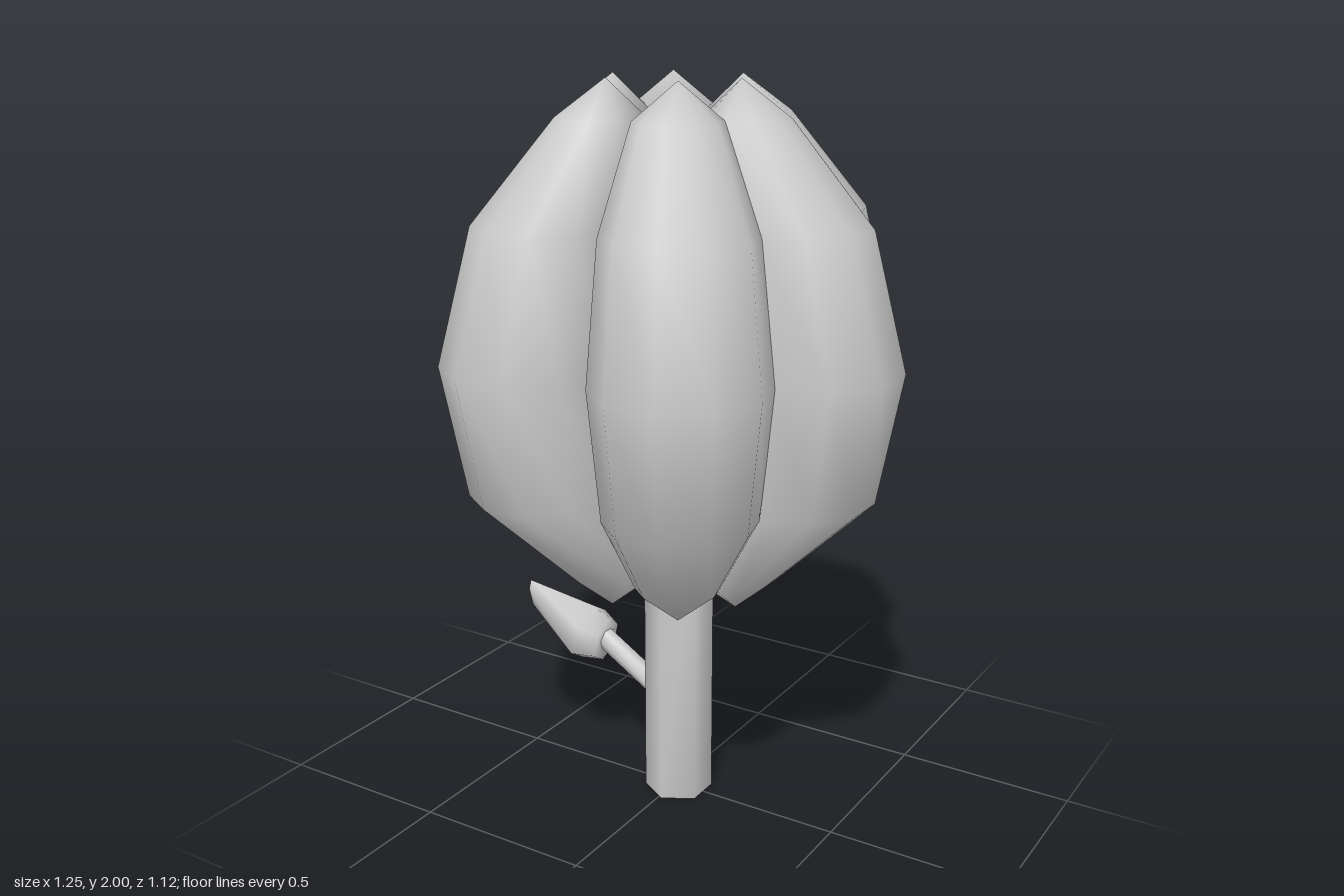
import * as THREE from 'three';
import { mergeVertices } from 'three/addons/utils/BufferGeometryUtils.js';

const material = new THREE.MeshStandardMaterial({ color: 0xcccccc });

// Weld all vertices so the shading runs smoothly over the whole part
function smooth(geometry) {
  geometry.deleteAttribute('uv');
  geometry.deleteAttribute('normal');
  const welded = mergeVertices(geometry, 1e-4);
  welded.computeVertexNormals();
  return welded;
}

function addPart(parent, name, geometry) {
  const mesh = new THREE.Mesh(geometry, material);
  mesh.name = name;
  parent.add(mesh);
  return mesh;
}

// Petal: a stretched ten-sided sphere whose rings bow outward from the flower's axis
function petalGeometry() {
  const bow = [0.19, 0.205, 0.345, 0.41, 0.375, 0.19, 0.19]; // ring centres, top to bottom
  const geometry = new THREE.SphereGeometry(1, 10, 6).rotateY(Math.PI / 10);
  const p = geometry.attributes.position;
  for (let i = 0; i < p.count; i++) {
    const ring = Math.round(Math.acos(THREE.MathUtils.clamp(p.getY(i), -1, 1)) / (Math.PI / 6));
    p.setXYZ(i, p.getX(i) * 0.227 + bow[ring], 1.3 + p.getY(i) * 0.7, p.getZ(i) * 0.227);
  }
  return smooth(geometry);
}

// Leaf: three six-sided rings, each given by its upper and lower point and half depth
function leafGeometry() {
  const rings = [
    { top: [-0.225, 0.46], bottom: [-0.25, 0.33], depth: 0.06 },
    { top: [-0.28, 0.495], bottom: [-0.32, 0.32], depth: 0.085 },
    { top: [-0.505, 0.525], bottom: [-0.48, 0.435], depth: 0.02 },
  ];
  const geometry = new THREE.CylinderGeometry(1, 1, 2, 6, 2).rotateY(Math.PI / 6);
  const p = geometry.attributes.position;
  for (let i = 0; i < p.count; i++) {
    const { top, bottom, depth } = rings[Math.round(p.getY(i)) + 1];
    const t = (p.getX(i) + 1) / 2;
    p.setXYZ(
      i,
      THREE.MathUtils.lerp(bottom[0], top[0], t),
      THREE.MathUtils.lerp(bottom[1], top[1], t),
      p.getZ(i) * depth
    );
  }
  return smooth(geometry);
}

export function createModel() {
  const model = new THREE.Group();
  model.name = 'flower';

  // Bloom: one petal to each side, two in front and two behind
  const bloom = new THREE.Group();
  bloom.name = 'bloom';
  model.add(bloom);
  const petal = petalGeometry();
  for (const degrees of [0, 56.5, 123.5, 180, 236.5, 303.5]) {
    addPart(bloom, 'petal', petal).rotation.y = THREE.MathUtils.degToRad(degrees);
  }

  // Stem
  const stem = addPart(model, 'stem', smooth(new THREE.CylinderGeometry(0.095, 0.095, 0.8, 6)));
  stem.position.set(0.01, 0.4, 0);

  // Leaf stalk growing out of the stem
  const from = new THREE.Vector3(-0.03, 0.275, 0);
  const to = new THREE.Vector3(-0.26, 0.415, 0);
  const axis = to.clone().sub(from);
  const stalk = addPart(model, 'leafStalk', smooth(new THREE.CylinderGeometry(0.03, 0.03, axis.length(), 6)));
  stalk.position.copy(from).add(to).multiplyScalar(0.5);
  stalk.quaternion.setFromUnitVectors(new THREE.Vector3(0, 1, 0), axis.normalize());

  addPart(model, 'leaf', leafGeometry());
  return model;
}
